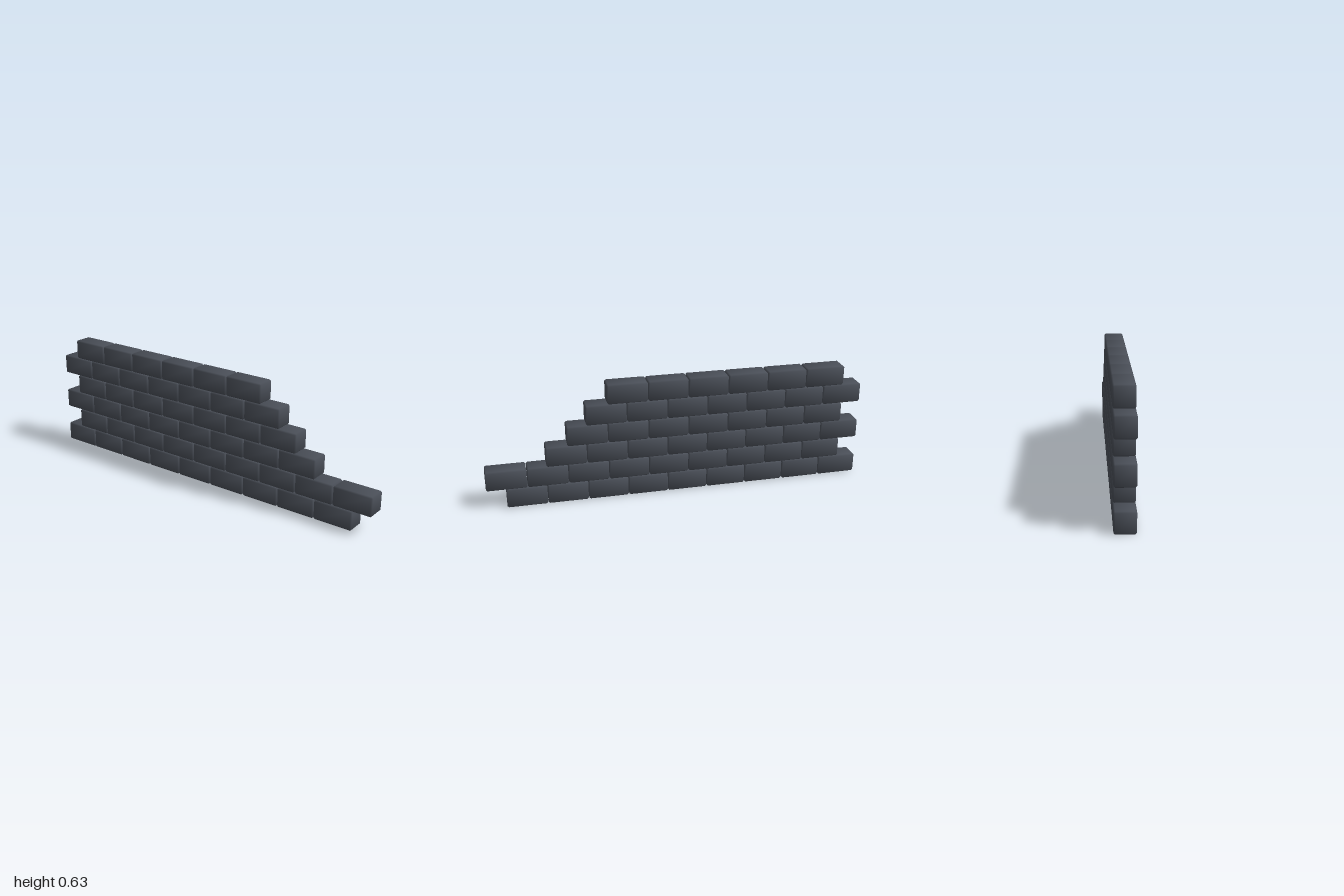
import * as THREE from 'three';
import { ConvexGeometry } from 'three/addons/geometries/ConvexGeometry.js';

const LENGTH = 0.2085, HEIGHT = 0.1037, DEPTH = 0.1, BEVEL = 0.007;
const PITCH_X = 0.2115, PITCH_Y = 0.1043;

// Chamfered brick whose normals blend softly across each face
function brickGeometry() {
  const half = [LENGTH / 2, HEIGHT / 2, DEPTH / 2];
  const points = [];
  for (let axis = 0; axis < 3; axis++)
    for (const sx of [-1, 1]) for (const sy of [-1, 1]) for (const sz of [-1, 1]) {
      const p = [sx, sy, sz].map((s, i) => s * (half[i] - (i === axis ? 0 : BEVEL)));
      points.push(new THREE.Vector3(...p));
    }
  const geometry = new ConvexGeometry(points);
  const pos = geometry.attributes.position, normal = geometry.attributes.normal;
  const n = new THREE.Vector3();
  for (let i = 0; i < pos.count; i++) {
    const p = [pos.getX(i), pos.getY(i), pos.getZ(i)];
    // lean mainly along the axis of the large face this corner belongs to
    n.set(...p.map((v, k) => Math.sign(v) * (half[k] - Math.abs(v) < BEVEL / 2 ? 1 : 0.38))).normalize();
    normal.setXYZ(i, n.x, n.y, n.z);
  }
  return geometry;
}

export function createModel() {
  const wall = new THREE.Group();
  wall.name = 'brickWall';
  const slate = new THREE.MeshStandardMaterial({ color: 0x4a4f58 });
  slate.name = 'darkSlate';
  const geometry = brickGeometry();

  // Running bond courses, stepping down towards +x
  const bricksPerCourse = [9, 9, 8, 7, 7, 6];
  bricksPerCourse.forEach((count, row) => {
    const course = new THREE.Group();
    course.name = `course${row + 1}`;
    const start = row % 2 ? -0.9 : -1;
    for (let i = 0; i < count; i++) {
      const brick = new THREE.Mesh(geometry, slate);
      brick.name = 'brick';
      brick.position.set(start + LENGTH / 2 + i * PITCH_X, HEIGHT / 2 + row * PITCH_Y, 0);
      course.add(brick);
    }
    wall.add(course);
  });
  return wall;
}
